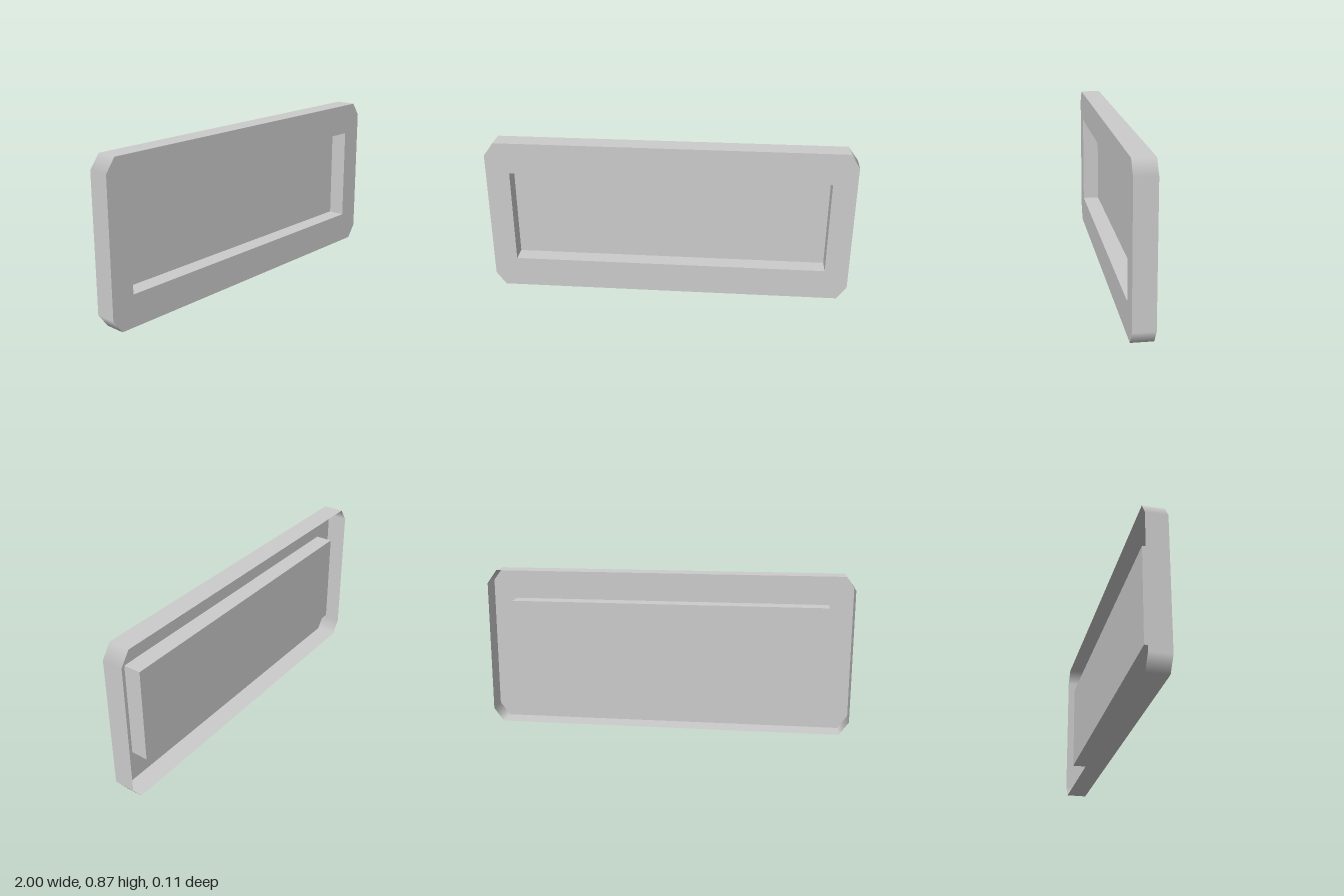
import * as THREE from 'three';

const H = 0.872, MID = H / 2;            // overall height and its centre
const FRONT = 0.057, BACK = -0.057;      // depth of the outer rim
const PAN = { w: 0.87, h: 0.263, z: -0.038 }; // half sizes and floor of the recess

// Band of walls around a counter-clockwise outline of [x, y, normalX, normalY]
function wallBand(points, zFront, zBack) {
  const pos = [], nor = [], index = [];
  points.forEach((a, i) => {
    const b = points[(i + 1) % points.length];
    if (a[0] === b[0] && a[1] === b[1]) return; // hard corner
    const n = pos.length / 3;
    for (const [p, z] of [[a, zFront], [a, zBack], [b, zBack], [b, zFront]]) {
      pos.push(p[0], p[1], z);
      nor.push(p[2], p[3], 0);
    }
    index.push(n, n + 1, n + 2, n, n + 2, n + 3);
  });
  const geo = new THREE.BufferGeometry();
  geo.setAttribute('position', new THREE.Float32BufferAttribute(pos, 3));
  geo.setAttribute('normal', new THREE.Float32BufferAttribute(nor, 3));
  geo.setIndex(index);
  return geo;
}

export function createModel() {
  const group = new THREE.Group();
  const grey = new THREE.MeshStandardMaterial({ color: 0xcccccc, side: THREE.DoubleSide });
  grey.name = 'light grey';
  const add = (name, geo, z = 0) => {
    const mesh = new THREE.Mesh(geo, grey);
    mesh.name = name;
    mesh.position.set(0, MID, z);
    group.add(mesh);
  };

  // Outline with cut corners; normals blend across each cut
  const cx = 0.947, cy = MID - 0.073;
  const outline = [
    [1, -cy, 1, 0], [1, cy, 1, 0], [cx, MID, 0, 1], [-cx, MID, 0, 1],
    [-1, cy, -1, 0], [-1, -cy, -1, 0], [-cx, -MID, 0, -1], [cx, -MID, 0, -1],
  ];
  add('outerRim', wallBand(outline, FRONT, BACK));

  // Front frame around the recess
  const { w, h } = PAN;
  const face = new THREE.Shape(outline.map(([x, y]) => new THREE.Vector2(x, y)));
  face.holes.push(new THREE.Path([[-w, -h], [-w, h], [w, h], [w, -h]]
    .map(([x, y]) => new THREE.Vector2(x, y))));
  add('frontFrame', new THREE.ShapeGeometry(face), FRONT);

  // Recess walls with hard corners, and the recess floor
  add('recessWalls', wallBand([
    [w, -h, 1, 0], [w, h, 1, 0], [w, h, 0, 1], [-w, h, 0, 1],
    [-w, h, -1, 0], [-w, -h, -1, 0], [-w, -h, 0, -1], [w, -h, 0, -1],
  ], FRONT, PAN.z));
  add('recessFloor', new THREE.PlaneGeometry(2 * w, 2 * h), PAN.z);

  return group;
}
